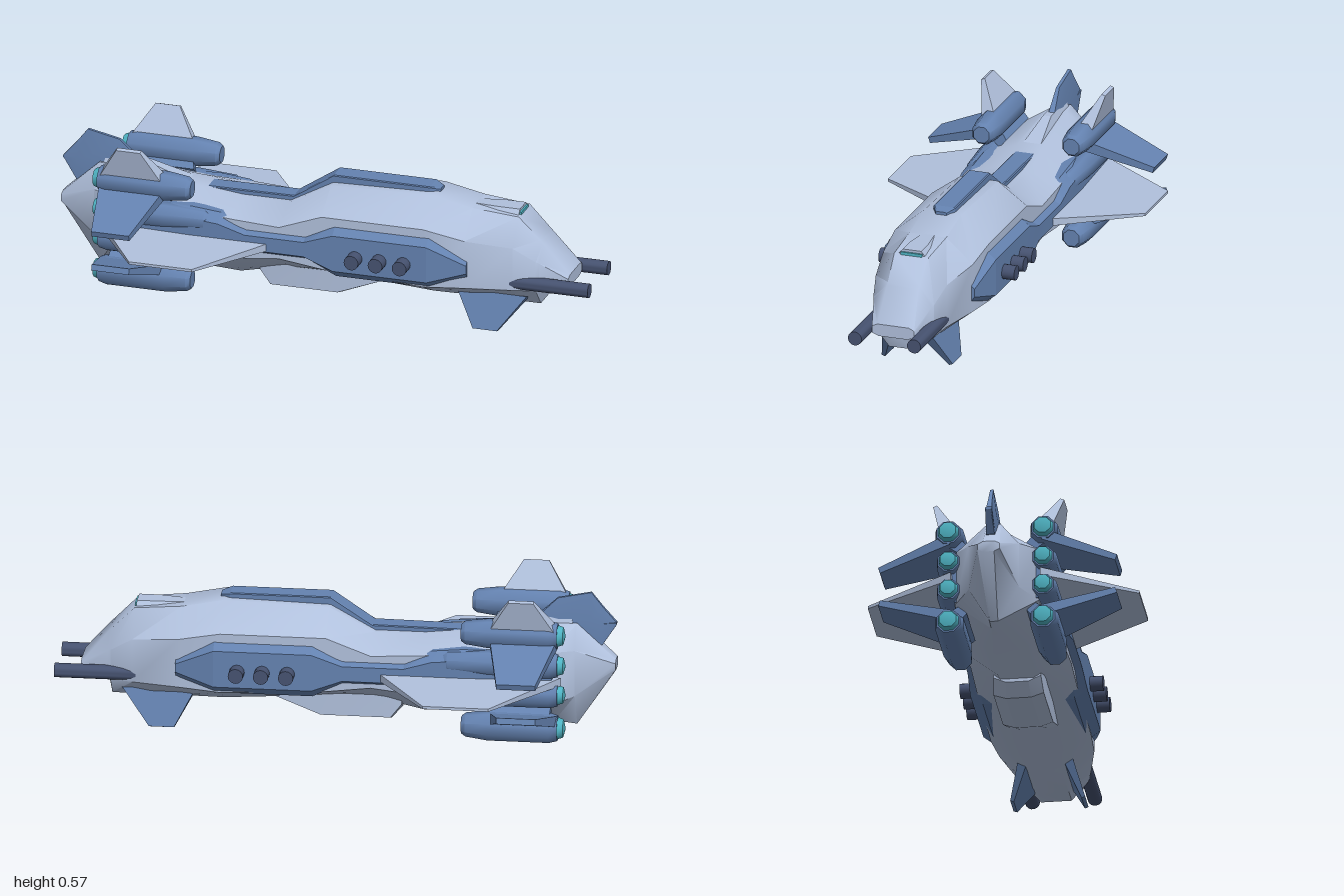
import * as THREE from 'three';
import { toCreasedNormals } from 'three/addons/utils/BufferGeometryUtils.js';

const mat = (color) => new THREE.MeshStandardMaterial({ color });

export function createModel() {
  const ship = new THREE.Group();
  ship.name = 'spaceship';
  const light = mat(0xb0c0dc), blue = mat(0x6482b0), dark = mat(0x465270), teal = mat(0x4fb4c4);

  const add = (name, geometry, material, x = 0, y = 0, z = 0) => {
    const mesh = new THREE.Mesh(geometry, material);
    mesh.name = name;
    mesh.position.set(x, y, z);
    ship.add(mesh);
  };

  // Loft of eight-sided sections: [x, top, high, low, bottom, topHalf, midHalf, bottomHalf]
  const loft = (rows, crease) => {
    const pos = [];
    const idx = [];
    for (const [x, t, h, l, b, wt, wm, wb] of rows) {
      const half = [[t, wt], [h, wm], [l, wm], [b, wb]];
      for (const [y, z] of half) pos.push(x, y, z);
      for (const [y, z] of half.reverse()) pos.push(x, y, -z);
    }
    const last = (rows.length - 1) * 8;
    for (let s = 0; s < last; s += 8) {
      for (let i = 0; i < 8; i++) {
        const a = s + i, b = s + (i + 1) % 8;
        idx.push(a, b, a + 8, b, b + 8, a + 8);
      }
    }
    for (let i = 1; i < 7; i++) idx.push(0, i + 1, i, last, last + i, last + i + 1);
    const g = new THREE.BufferGeometry();
    g.setAttribute('position', new THREE.Float32BufferAttribute(pos, 3));
    g.setIndex(idx);
    return toCreasedNormals(g, crease);
  };

  // Tapered fin between a root and a tip, each { x: [back, front], y, z, t: thickness }
  const fin = (name, material, root, tip, side = 1) => {
    const g = new THREE.BoxGeometry(1, 1, 1).toNonIndexed();
    const p = g.attributes.position;
    const dy = tip.y - root.y, dz = (tip.z - root.z) * side, len = Math.hypot(dy, dz);
    for (let i = 0; i < p.count; i++) {
      const end = p.getY(i) > 0 ? tip : root;
      const w = p.getZ(i) * end.t;
      p.setXYZ(i, end.x[p.getX(i) > 0 ? 1 : 0], end.y - w * dz / len, end.z * side + w * dy / len);
    }
    g.computeVertexNormals();
    add(name, g, material);
  };

  // Turned part along x from [x, radius] points
  const turned = (name, material, pts, y, z, sides = 8) => {
    const g = new THREE.LatheGeometry(pts.map(([x, r]) => new THREE.Vector2(r, x)), sides, Math.PI / sides);
    g.rotateZ(-Math.PI / 2);
    add(name, toCreasedNormals(g, 0.85), material, 0, y, z);
  };

  // Main hull: pinched waist, tall bow and wedge-shaped stern
  add('hull', loft([
    [-1.00, 0.29, 0.28, 0.26, 0.25, 0.02, 0.04, 0.02],
    [-0.86, 0.42, 0.34, 0.17, 0.04, 0.025, 0.09, 0.015],
    [-0.78, 0.42, 0.35, 0.15, 0.05, 0.04, 0.15, 0.02],
    [-0.50, 0.39, 0.34, 0.16, 0.09, 0.05, 0.17, 0.05],
    [-0.32, 0.37, 0.33, 0.18, 0.085, 0.06, 0.18, 0.06],
    [-0.14, 0.37, 0.32, 0.20, 0.125, 0.06, 0.18, 0.06],
    [0.02, 0.46, 0.38, 0.18, 0.125, 0.07, 0.18, 0.06],
    [0.40, 0.47, 0.38, 0.16, 0.10, 0.07, 0.18, 0.06],
    [0.55, 0.44, 0.35, 0.17, 0.10, 0.07, 0.17, 0.055],
    [0.72, 0.425, 0.33, 0.17, 0.10, 0.065, 0.135, 0.055],
    [0.80, 0.345, 0.28, 0.17, 0.10, 0.06, 0.115, 0.055],
    [0.81, 0.335, 0.275, 0.18, 0.155, 0.06, 0.11, 0.055],
    [0.91, 0.225, 0.215, 0.19, 0.18, 0.06, 0.08, 0.055],
  ], 0.72), light);

  // Armour running down both flanks: broad bow, narrow waist, broad stern
  add('sideArmour', loft([
    [-0.79, 0.35, 0.33, 0.17, 0.155, 0.14, 0.19, 0.14],
    [-0.47, 0.355, 0.325, 0.18, 0.16, 0.165, 0.205, 0.165],
    [-0.36, 0.345, 0.315, 0.20, 0.18, 0.165, 0.205, 0.165],
    [-0.26, 0.30, 0.285, 0.23, 0.21, 0.17, 0.205, 0.17],
    [-0.04, 0.30, 0.285, 0.23, 0.21, 0.17, 0.205, 0.17],
    [0.07, 0.352, 0.325, 0.19, 0.155, 0.175, 0.21, 0.165],
    [0.42, 0.352, 0.325, 0.19, 0.155, 0.175, 0.21, 0.165],
    [0.56, 0.275, 0.26, 0.23, 0.21, 0.165, 0.18, 0.165],
  ], 0.2), blue);

  // Belly blister
  add('bellyPod', loft([
    [-0.24, 0.17, 0.15, 0.11, 0.09, 0.06, 0.085, 0.04],
    [-0.20, 0.17, 0.15, 0.06, 0.045, 0.06, 0.09, 0.045],
    [0.05, 0.17, 0.155, 0.06, 0.045, 0.06, 0.09, 0.045],
    [0.22, 0.17, 0.16, 0.125, 0.115, 0.06, 0.085, 0.05],
  ], 0.2), light);

  // Raised deck that follows the step in the hull top
  add('topDeck', loft([
    [-0.45, 0.385, 0.382, 0.35, 0.34, 0.033, 0.037, 0.03],
    [-0.13, 0.388, 0.385, 0.35, 0.34, 0.033, 0.037, 0.03],
    [0.02, 0.487, 0.484, 0.43, 0.42, 0.037, 0.041, 0.032],
    [0.38, 0.487, 0.484, 0.43, 0.42, 0.037, 0.041, 0.032],
    [0.415, 0.478, 0.475, 0.43, 0.42, 0.015, 0.02, 0.015],
  ], 0.2), blue);

  // Bridge and its window
  add('bridge', loft([
    [0.52, 0.44, 0.43, 0.42, 0.40, 0.02, 0.025, 0.02],
    [0.64, 0.443, 0.425, 0.415, 0.395, 0.035, 0.05, 0.035],
    [0.715, 0.443, 0.425, 0.415, 0.395, 0.035, 0.05, 0.035],
  ], 0.2), light);
  add('bridgeWindow', new THREE.BoxGeometry(0.012, 0.013, 0.08), teal, 0.716, 0.427, 0);

  // Kite-shaped tail fin with its spine, on the centre line
  add('tailFin', loft([
    [-1.00, 0.425, 0.423, 0.417, 0.415, 0.008, 0.012, 0.008],
    [-0.95, 0.482, 0.42, 0.36, 0.34, 0.007, 0.015, 0.015],
    [-0.91, 0.533, 0.43, 0.36, 0.34, 0.006, 0.017, 0.017],
    [-0.79, 0.508, 0.43, 0.38, 0.36, 0.006, 0.018, 0.018],
    [-0.70, 0.425, 0.42, 0.41, 0.40, 0.008, 0.016, 0.016],
  ], 0.2), blue);
  fin('tailSpine', light, { x: [-0.86, -0.42], y: 0.36, z: 0, t: 0.09 }, { x: [-0.84, -0.68], y: 0.44, z: 0, t: 0.03 });

  for (const s of [1, -1]) {
    // Broadside cannons
    for (const x of [0.155, 0.245, 0.335]) {
      const g = new THREE.CylinderGeometry(0.027, 0.027, 0.1, 16).rotateX(Math.PI / 2);
      add('sideCannon', g, dark, x, 0.25, s * 0.207);
    }

    // Bow gun
    turned('bowGun', dark, [[0.55, 0], [0.55, 0.026], [1, 0.026], [1, 0]], 0.195, s * 0.112, 16);

    // Stack of four engines: large outer pair, small inner pair
    for (const [y, r, front] of [[0.423, 0.053, -0.465], [0.31, 0.048, -0.4], [0.2, 0.048, -0.4], [0.075, 0.054, -0.465]]) {
      turned('engine', blue, [[-0.81, 0], [-0.81, r * 0.85], [-0.78, r], [-0.56, r], [front - 0.015, r * 0.8],
        [front, r * 0.6], [front, 0]], y, s * 0.17);
      turned('engineGlow', teal, [[-0.838, 0], [-0.83, r * 0.6], [-0.80, r * 0.8], [-0.80, 0]], y, s * 0.17);
    }

    // Pylons joining the outer engines to the hull
    for (const [inner, outer] of [[0.365, 0.41], [0.13, 0.09]]) {
      fin('enginePylon', blue, { x: [-0.78, -0.55], y: inner, z: 0.12, t: 0.04 },
        { x: [-0.78, -0.57], y: outer, z: 0.17, t: 0.06 }, s);
    }

    // Main wing, engine fins and bow canard
    fin('wing', light, { x: [-0.82, -0.15], y: 0.247, z: 0.16, t: 0.03 }, { x: [-0.60, -0.365], y: 0.245, z: 0.487, t: 0.01 }, s);
    fin('upperFin', light, { x: [-0.81, -0.56], y: 0.44, z: 0.178, t: 0.055 }, { x: [-0.73, -0.64], y: 0.565, z: 0.228, t: 0.015 }, s);
    fin('upperSideFin', blue, { x: [-0.81, -0.565], y: 0.395, z: 0.17, t: 0.04 }, { x: [-0.76, -0.62], y: 0.312, z: 0.425, t: 0.022 }, s);
    fin('lowerSideFin', blue, { x: [-0.81, -0.565], y: 0.1, z: 0.17, t: 0.04 }, { x: [-0.76, -0.62], y: 0.184, z: 0.425, t: 0.022 }, s);
    fin('bowCanard', blue, { x: [0.50, 0.76], y: 0.13, z: 0.08, t: 0.035 }, { x: [0.57, 0.66], y: 0.003, z: 0.128, t: 0.014 }, s);
  }
  return ship;
}
